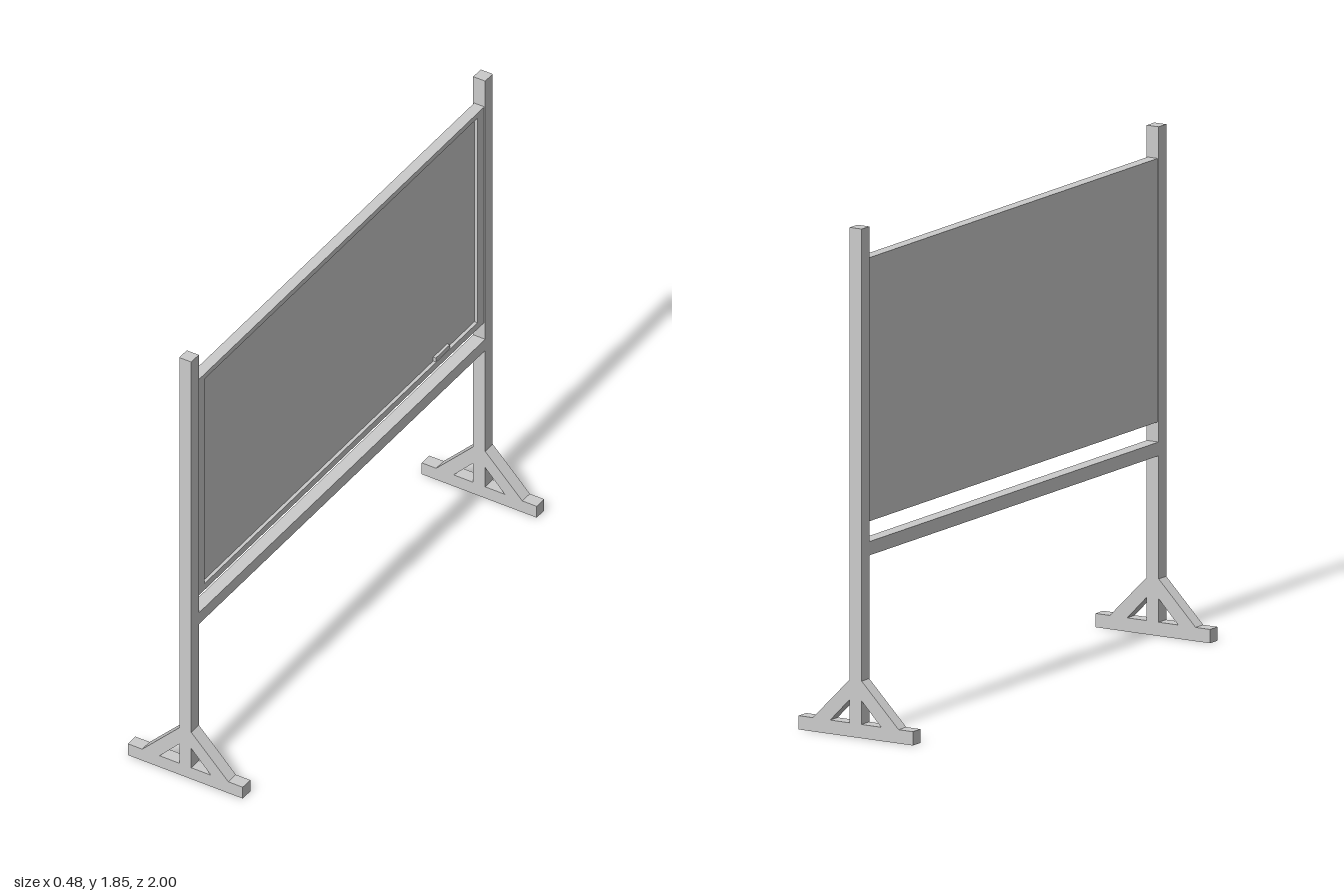
import * as THREE from 'three';

const material = new THREE.MeshStandardMaterial({ color: 0xcccccc, flatShading: true });

// Box given by its minimum and maximum corners
function box(name, [x0, y0, z0], [x1, y1, z1]) {
  const mesh = new THREE.Mesh(new THREE.BoxGeometry(x1 - x0, y1 - y0, z1 - z0), material);
  mesh.name = name;
  mesh.position.set((x0 + x1) / 2, (y0 + y1) / 2, (z0 + z1) / 2);
  return mesh;
}

// Diagonal brace between the foot and the post, on one side (+1 or -1)
function brace(side) {
  const points = [[0.107, 0.05], [0.18, 0.05], [0.025, 0.207], [0.025, 0.135]];
  const shape = new THREE.Shape(points.map(([x, y]) => new THREE.Vector2(x * side, y)));
  const geometry = new THREE.ExtrudeGeometry(shape, { depth: 0.05, bevelEnabled: false });
  geometry.translate(0, 0, -0.025);
  const mesh = new THREE.Mesh(geometry, material);
  mesh.name = side > 0 ? 'leftBrace' : 'rightBrace';
  return mesh;
}

// Upright post standing on a braced foot
function stand(name, z) {
  const group = new THREE.Group();
  group.name = name;
  group.add(
    box('foot', [-0.24, 0, -0.025], [0.24, 0.05, 0.025]),
    box('post', [-0.025, 0.05, -0.025], [0.025, 1.845, 0.025]),
    brace(1),
    brace(-1)
  );
  group.position.z = z;
  return group;
}

// Board: flat back, writing surface recessed in a frame on the +x side
function board() {
  const group = new THREE.Group();
  group.name = 'board';
  const back = -0.021, face = 0.008, rim = 0.021;
  const end = 0.95, inner = 0.905;
  const bottom = 0.775, innerBottom = 0.803, innerTop = 1.708, top = 1.73;
  group.add(
    box('writingSurface', [back, innerBottom, -inner], [face, innerTop, inner]),
    box('frameTop', [back, innerTop, -end], [rim, top, end]),
    box('frameBottom', [back, bottom, -end], [rim, innerBottom, end]),
    box('frameFrontSide', [back, innerBottom, inner], [rim, innerTop, end]),
    box('frameBackSide', [back, innerBottom, -end], [rim, innerTop, -inner]),
    box('eraser', [face, innerBottom, -0.725], [0.019, 0.82, -0.632])
  );
  return group;
}

export function createModel() {
  const model = new THREE.Group();
  model.name = 'freestandingBoard';
  model.add(
    stand('frontStand', 0.975),
    stand('backStand', -0.975),
    board(),
    box('crossRail', [-0.025, 0.653, -0.95], [0.025, 0.703, 0.95])
  );
  return model;
}
